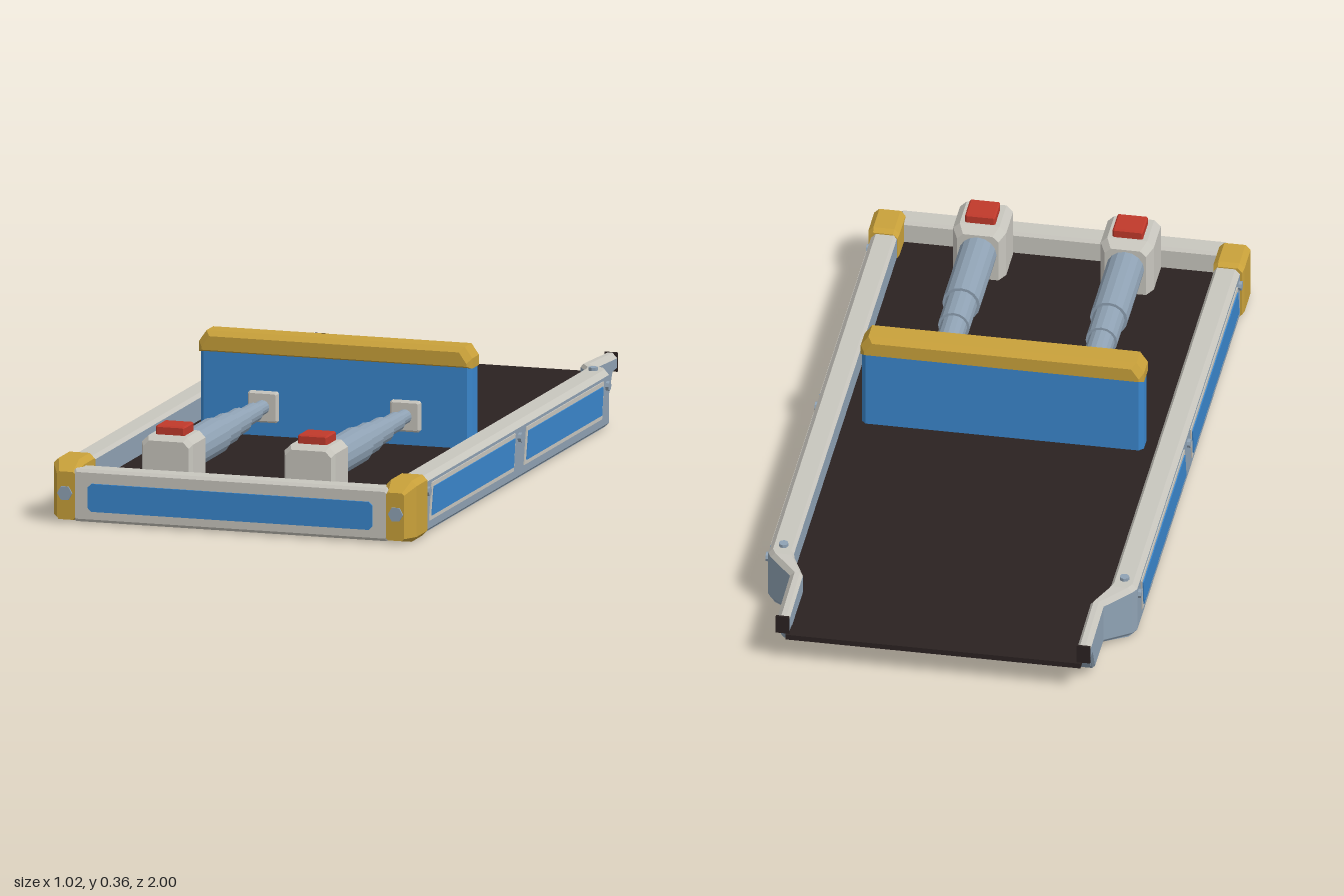
import * as THREE from 'three';

const mat = (name, color) => {
  const m = new THREE.MeshStandardMaterial({ color });
  m.name = name;
  return m;
};

// Flat-faced loft through convex [x, y] rings; matOf(j) picks the material of ring side j
function loft(stations, matOf = () => 0) {
  const parts = [[], []];
  const n = stations[0].ring.length;
  const P = (i, j) => [...stations[i].ring[j % n], stations[i].z];
  for (let i = 0; i < stations.length - 1; i++) {
    for (let j = 0; j < n; j++) {
      const a = P(i, j), b = P(i, j + 1), c = P(i + 1, j + 1), d = P(i + 1, j);
      parts[matOf(j)].push(...a, ...d, ...b, ...b, ...d, ...c);
    }
  }
  const e = stations.length - 1;
  for (let k = 1; k < n - 1; k++) {
    parts[0].push(...P(0, 0), ...P(0, k), ...P(0, k + 1));
    parts[0].push(...P(e, 0), ...P(e, k + 1), ...P(e, k));
  }
  const g = new THREE.BufferGeometry();
  g.setAttribute('position', new THREE.Float32BufferAttribute(parts.flat(), 3));
  g.addGroup(0, parts[0].length / 3, 0);
  g.addGroup(parts[0].length / 3, parts[1].length / 3, 1);
  g.computeVertexNormals();
  return g;
}

// Mirror a geometry across x = 0, keeping faces outward
function mirrorX(geo) {
  const g = geo.index ? geo.toNonIndexed() : geo.clone();
  g.scale(-1, 1, 1);
  const p = g.attributes.position;
  for (let i = 0; i < p.count; i += 3) {
    const a = new THREE.Vector3().fromBufferAttribute(p, i + 1);
    const b = new THREE.Vector3().fromBufferAttribute(p, i + 2);
    p.setXYZ(i + 1, b.x, b.y, b.z);
    p.setXYZ(i + 2, a.x, a.y, a.z);
  }
  g.computeVertexNormals();
  return g;
}

// Octagonal outline: a rectangle with cut corners
const octagon = (x0, x1, y0, y1, c) => [
  [x0 + c, y0], [x1 - c, y0], [x1, y0 + c], [x1, y1 - c],
  [x1 - c, y1], [x0 + c, y1], [x0, y1 - c], [x0, y0 + c]];

const plate = (pts, depth) => new THREE.ExtrudeGeometry(
  new THREE.Shape(pts.map(p => new THREE.Vector2(...p))), { depth, bevelEnabled: false });

// Box with every edge chamfered
function chamferBox(x0, x1, y0, y1, z0, z1, c) {
  const inner = octagon(x0 + c, x1 - c, y0 + c, y1 - c, c * 0.5);
  const outer = octagon(x0, x1, y0, y1, c);
  return loft([{ z: z1, ring: inner }, { z: z1 - c, ring: outer },
    { z: z0 + c, ring: outer }, { z: z0, ring: inner }]);
}

export function createModel() {
  const model = new THREE.Group();
  model.name = 'pusherBed';
  const steel = mat('steel', 0x8fa2b4);
  const pale = mat('palePaint', 0xc8c6be);
  const blue = mat('bluePaint', 0x3a86cc);
  const yellow = mat('yellowPaint', 0xc9a13a);
  const red = mat('redPaint', 0xc0392b);
  const dark = mat('darkFloor', 0x2b2221);

  const add = (name, geo, material) => {
    const m = new THREE.Mesh(geo, material);
    m.name = name;
    model.add(m);
  };
  const pair = (name, geo, material) => {
    add(name + 'Left', geo, material);
    add(name + 'Right', mirrorX(geo), material);
  };

  // Plan of the bed: z, inner x, outer x, bottom y, top y
  const plan = [
    [0.93, 0.43, 0.5, 0.003, 0.155], [-0.7, 0.43, 0.5, 0.003, 0.155],
    [-0.72, 0.425, 0.49, 0.005, 0.155], [-0.79, 0.39, 0.425, 0.02, 0.148],
    [-0.92, 0.39, 0.425, 0.022, 0.143], [-0.955, 0.39, 0.425, 0.09, 0.141],
    [-0.995, 0.39, 0.425, 0.092, 0.14]];

  // Side rails with pale top edge
  const rail = loft(plan.map(([z, xi, xo, yb, yt]) => ({ z, ring: [
    [xi, yb], [xo - 0.008, yb], [xo, yb + 0.008], [xo, yt - 0.014],
    [xo - 0.013, yt], [xi + 0.008, yt], [xi, yt - 0.01]] })), j => (j >= 3 && j <= 5 ? 1 : 0));
  pair('sideRail', rail, [steel, pale]);
  pair('railEnd', new THREE.BoxGeometry(0.037, 0.052, 0.006).translate(0.4075, 0.115, -0.997), dark);

  // Underbody and floor
  add('underbody', loft(plan.slice(0, 6).map(([z, , xo, yb]) => {
    const w = xo - 0.01, y = yb <= 0.005 ? 0 : Math.min(yb, 0.068);
    return { z, ring: [[-w, y], [w, y], [w, 0.07], [-w, 0.07]] };
  })), steel);
  add('floor', loft([...plan.slice(0, 6), [-1, 0.39]].map(([z, xi]) => {
    const w = xi + 0.01;
    return { z, ring: [[-w, 0.07], [w, 0.07], [w, 0.085], [-w, 0.085]] };
  })), dark);

  // Front beam and its panel
  add('frontBeam', chamferBox(-0.445, 0.445, 0.004, 0.147, 0.93, 0.995, 0.008), pale);
  add('frontPanel', plate(octagon(-0.4, 0.4, 0.034, 0.11, 0.01), 0.005).translate(0, 0, 0.995), blue);

  // Corner guards with hex bolts
  const guardRing = octagon(0.425, 0.51, 0, 0.166, 0.014);
  pair('cornerGuard', loft([
    { z: 0.995, ring: octagon(0.437, 0.488, 0.008, 0.138, 0.006) },
    { z: 0.955, ring: guardRing }, { z: 0.865, ring: guardRing },
    { z: 0.85, ring: octagon(0.428, 0.506, 0.001, 0.158, 0.012) }]), yellow);
  const hex = () => new THREE.CylinderGeometry(0.021, 0.021, 0.012, 6).toNonIndexed();
  const boltSteel = steel.clone();
  boltSteel.name = 'steelFaceted';
  boltSteel.flatShading = true;
  pair('guardBolt', hex().rotateY(Math.PI / 2).rotateX(Math.PI / 2).translate(0.465, 0.08, 0.994), boltSteel);

  // Slanted side panels with pale borders, z front to z back
  [[0.81, 0.12], [0.01, -0.625]].forEach(([a, b], i) => {
    const slant = (e, x, t) => plate([
      [-a - e, 0.045 - e], [-b + e * 0.7, 0.045 - e],
      [-b + 0.012 + e, 0.121 + e], [-a + 0.018 - e * 0.7, 0.121 + e]], t)
      .rotateY(Math.PI / 2).translate(x, 0, 0);
    pair('panelBorder' + (i + 1), slant(0.012, 0.499, 0.004), pale);
    pair('sidePanel' + (i + 1), slant(0, 0.502, 0.004), blue);
  });

  // Small rail bolts
  const bolt = () => new THREE.CylinderGeometry(0.013, 0.013, 0.014, 8);
  [0.835, 0.06, -0.68].forEach((z, i) =>
    pair('sideBolt' + (i + 1), bolt().rotateZ(Math.PI / 2).translate(0.502, 0.115, z), boltSteel));
  pair('topBolt', bolt().translate(0.462, 0.157, -0.68), boltSteel);

  // Pusher blade and its bumper
  add('blade', plate(octagon(-0.382, 0.382, -0.11, -0.045, 0.012), 0.235)
    .rotateX(-Math.PI / 2).translate(0, 0.08, 0), blue);
  const capRing = (w, c, y0, y1) => [
    [-w, y0], [w, y0], [w, y1 - c], [w - c * 0.7, y1], [-w + c * 0.7, y1], [-w, y1 - c]];
  const wide = capRing(0.384, 0.03, 0.303, 0.361), narrow = capRing(0.372, 0.03, 0.31, 0.348);
  add('bladeBumper', loft([{ z: 0.121, ring: narrow }, { z: 0.106, ring: wide },
    { z: 0.05, ring: wide }, { z: 0.035, ring: narrow }]), yellow);

  // Telescopic rams: z front, z back, radius
  const axisY = 0.165, ramX = 0.2;
  [[0.82, 0.54, 0.051], [0.55, 0.43, 0.043], [0.44, 0.32, 0.036],
    [0.33, 0.2, 0.027], [0.21, 0.1, 0.02]].forEach(([a, b, r], i) =>
    pair('ramStage' + (i + 1), new THREE.CylinderGeometry(r, r, a - b, 16)
      .rotateX(Math.PI / 2).translate(ramX, axisY, (a + b) / 2), boltSteel));
  pair('ramMount', chamferBox(ramX - 0.042, ramX + 0.042, 0.123, 0.207, 0.105, 0.126, 0.005), pale);

  // Ram housings with red caps
  const house = (w, top, c) => [[ramX - w, 0.08], [ramX + w, 0.08], [ramX + w, top - c],
    [ramX + w - c, top], [ramX - w + c, top], [ramX - w, top - c]];
  pair('ramHousing', loft([
    { z: 0.94, ring: house(0.064, 0.226, 0.016) }, { z: 0.925, ring: house(0.072, 0.237, 0.018) },
    { z: 0.82, ring: house(0.072, 0.237, 0.018) }, { z: 0.79, ring: house(0.056, 0.222, 0.016) }]), pale);
  pair('housingCap', chamferBox(ramX - 0.041, ramX + 0.041, 0.232, 0.261, 0.825, 0.905, 0.004), red);

  return model;
}
